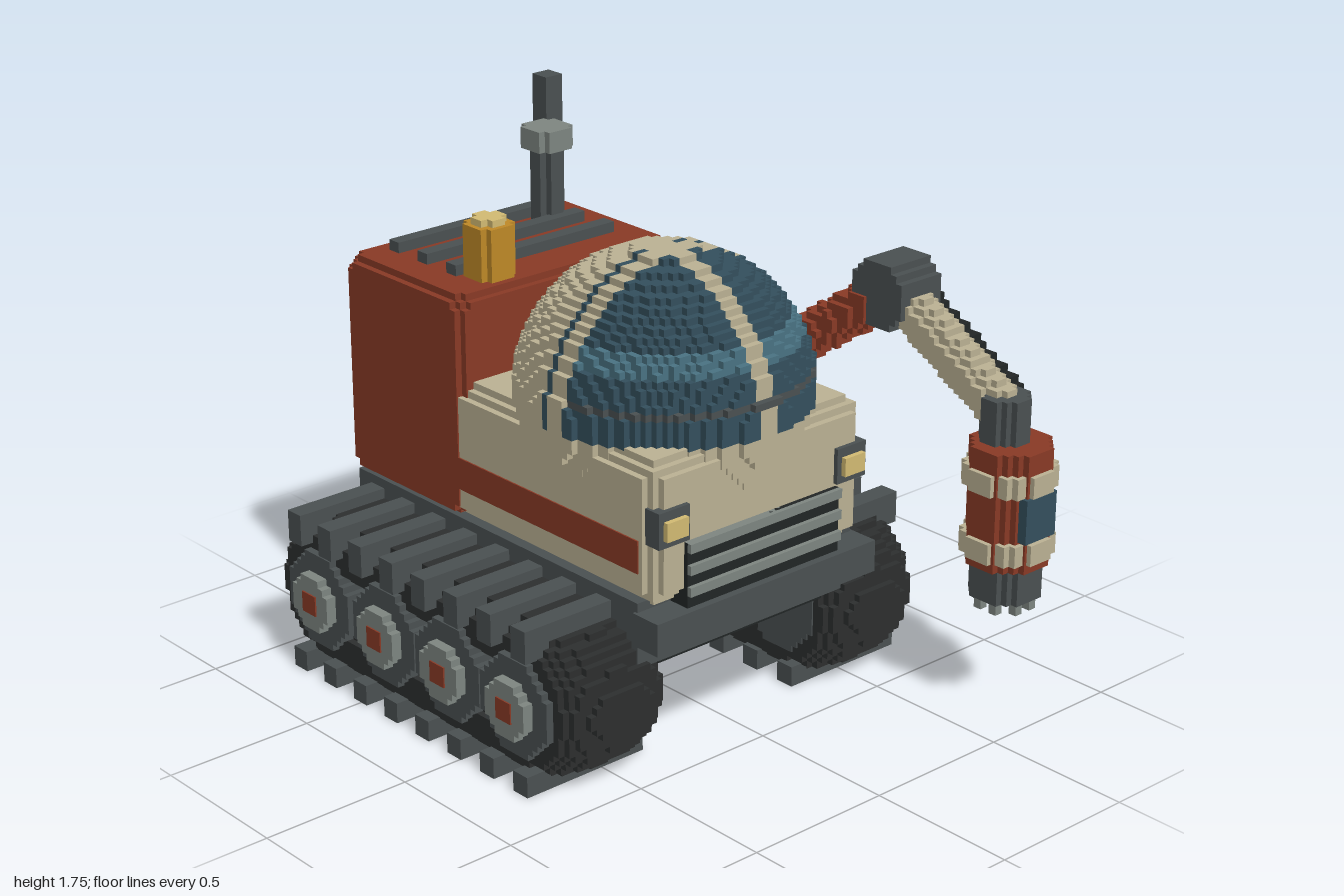
import * as THREE from 'three';

const V = 0.0225; // voxel size
const C = -0.02; // x of the vehicle's centre plane
const RED = 0x8a3a26, CREAM = 0xbdb395, GREY = 0x4b5152, BLACK = 0x222626, TREAD = 0x2d2f2f;
const LIGHT = 0x7f8782, BLUE = 0x34505e, SKY = 0x4a7484, ORANGE = 0xc08a28, YELLOW = 0xd4bc74;

const materials = {};
function material(color) {
  return (materials[color] ??= new THREE.MeshStandardMaterial({ color, flatShading: true }));
}

function add(parent, name, color, geometry) {
  const mesh = new THREE.Mesh(geometry, material(color));
  mesh.name = name;
  parent.add(mesh);
  return mesh;
}

// Plain block from its two corners
function block(parent, name, color, a, b) {
  const g = new THREE.BoxGeometry(b[0] - a[0], b[1] - a[1], b[2] - a[2]);
  g.translate((a[0] + b[0]) / 2, (a[1] + b[1]) / 2, (a[2] + b[2]) / 2);
  return add(parent, name, color, g);
}

// Voxel skin of the cells where inside() holds; faces against solid() are left out, runs are merged
function vox(parent, name, color, min, max, inside, solid = inside) {
  const n = min.map((m, i) => Math.max(1, Math.round((max[i] - m) / V)));
  const step = min.map((m, i) => (max[i] - m) / n[i]);
  const test = (c, f) => c.every((k, i) => k >= 0 && k < n[i])
    && f(...c.map((k, i) => min[i] + (k + 0.5) * step[i]));
  const pos = [];
  for (let d = 0; d < 3; d++) for (const s of [-1, 1]) {
    const u = (d + 1) % 3, v = (d + 2) % 3, cell = [0, 0, 0], next = [0, 0, 0];
    for (let i = 0; i < n[d]; i++) for (let j = 0; j < n[v]; j++) {
      let start = -1;
      for (let k = 0; k <= n[u]; k++) {
        cell[d] = i; cell[u] = k; cell[v] = j;
        next[d] = i + s; next[u] = k; next[v] = j;
        const open = k < n[u] && test(cell, inside) && !test(next, solid);
        if (open && start < 0) start = k;
        if (open || start < 0) continue;
        const q = [[start, j], [k, j], [k, j + 1], [start, j + 1]].map(([a, b]) => {
          const p = [0, 0, 0];
          p[d] = i + (s > 0 ? 1 : 0); p[u] = a; p[v] = b;
          return p.map((w, t) => min[t] + w * step[t]);
        });
        if (s < 0) q.reverse();
        for (const t of [0, 1, 2, 0, 2, 3]) pos.push(...q[t]);
        start = -1;
      }
    }
  }
  const g = new THREE.BufferGeometry();
  g.setAttribute('position', new THREE.Float32BufferAttribute(pos, 3));
  g.computeVertexNormals();
  return add(parent, name, color, g);
}

// Voxel cylinder along axis 0, 1 or 2, between from and to
function disc(parent, name, color, axis, center, r, from, to) {
  const min = center.map((c) => c - r), max = center.map((c) => c + r);
  min[axis] = from; max[axis] = to;
  return vox(parent, name, color, min, max, (...p) =>
    Math.hypot(...p.map((w, i) => (i === axis ? 0 : w - center[i]))) < r);
}

// Voxel box with rounded edges
function rounded(parent, name, color, a, b, r) {
  return vox(parent, name, color, a, b, (...p) =>
    Math.hypot(...p.map((w, i) => Math.max(0, Math.abs(w - (a[i] + b[i]) / 2) - (b[i] - a[i]) / 2 + r))) < r);
}

// Voxel rod from a to b
function rod(parent, name, color, a, b, r) {
  const line = new THREE.Line3(new THREE.Vector3(...a), new THREE.Vector3(...b));
  const p = new THREE.Vector3(), q = new THREE.Vector3();
  return vox(parent, name, color, a.map((w, i) => Math.min(w, b[i]) - r), a.map((w, i) => Math.max(w, b[i]) + r),
    (x, y, z) => line.closestPointToPoint(p.set(x, y, z), true, q).distanceTo(p) < r);
}

function group(parent, name) {
  const g = new THREE.Group();
  g.name = name;
  parent.add(g);
  return g;
}

function buildTrack(parent, side) {
  const track = group(parent, side > 0 ? 'leftTrack' : 'rightTrack');
  const cx = C + side * 0.53, cy = 0.265;
  const span = (a, b) => [C + side * a, C + side * b].sort((p, q) => p - q);
  // Belt: fat oval section swept round a stadium
  vox(track, 'belt', TREAD, [cx - 0.195, cy - 0.245, -1], [cx + 0.195, cy + 0.245, 0.48], (x, y, z) => {
    const d = Math.hypot(y - cy, z - Math.min(0.235, Math.max(-0.755, z)));
    return Math.abs((x - cx) / 0.195) ** 2.5 + Math.abs((d - 0.155) / 0.09) ** 2.5 < 1;
  });
  // Cleats above and below
  const [x0, x1] = span(0.315, 0.77);
  for (let i = 0; i < 8; i++) {
    const z = 0.288 - 0.1585 * i;
    block(track, 'topCleat', GREY, [x0, 0.44, z - 0.033], [x1, 0.545, z + 0.033]);
    block(track, 'bottomCleat', GREY, [x0, 0, z - 0.033], [x1, 0.068, z + 0.033]);
  }
  // Road wheels with hubs and square caps
  for (const z of [0.236, -0.08, -0.397, -0.735]) {
    disc(track, 'wheel', GREY, 0, [cx, cy, z], 0.155, ...span(0.33, 0.75));
    disc(track, 'hub', LIGHT, 0, [cx, cy, z], 0.09, ...span(0.74, 0.785));
    const [h0, h1] = span(0.77, 0.79);
    block(track, 'hubCap', RED, [h0, cy - 0.034, z - 0.034], [h1, cy + 0.034, z + 0.034]);
  }
}

function buildBody(parent) {
  const body = group(parent, 'body');
  block(body, 'chassis', GREY, [C - 0.44, 0.36, -0.92], [C + 0.44, 0.575, 0.44]);
  block(body, 'bellyPlate', BLACK, [C - 0.34, 0.34, -0.88], [C + 0.34, 0.365, 0.42]);
  block(body, 'bumper', GREY, [C - 0.45, 0.44, 0.43], [C + 0.45, 0.545, 0.54]);
  rounded(body, 'hull', CREAM, [C - 0.435, 0.56, -0.45], [C + 0.435, 1.02, 0.5], 0.08);
  block(body, 'hullStripe', RED, [C - 0.44, 0.67, -0.4], [C + 0.44, 0.775, 0.44]);

  // Grille and headlights
  block(body, 'grille', BLACK, [C - 0.31, 0.545, 0.42], [C + 0.31, 0.755, 0.515]);
  for (const y of [0.6, 0.67, 0.74])
    block(body, 'grilleBar', LIGHT, [C - 0.31, y - 0.015, 0.5], [C + 0.31, y + 0.015, 0.53]);
  for (const s of [-1, 1]) {
    const x = C + s * 0.362;
    block(body, 'headlightHousing', GREY, [x - 0.06, 0.765, 0.41], [x + 0.06, 0.88, 0.515]);
    block(body, 'headlight', YELLOW, [x - 0.042, 0.79, 0.5], [x + 0.042, 0.85, 0.532]);
  }

  // Dome, split by colour into shell, glass, shine and frame lines
  const r = 0.458, o = [C, 1.022, 0.07];
  const ball = (x, y, z) => Math.hypot(x - o[0], y - o[1], z - o[2]) < r;
  const paint = (x, y, z) => {
    const dx = Math.abs(x - C);
    if (z > 0.13 && y > 1.095 && y < 1.125) return GREY;
    if (z > 0.13 && y > 1 && dx > 0.036) return y > 1.22 && y < 1.285 ? SKY : BLUE;
    return Math.abs(z - 0.05) < 0.0115 && y > 1.02 && dx > 0.06 ? BLUE : CREAM;
  };
  const parts = [['domeShell', CREAM], ['domeGlass', BLUE], ['glassShine', SKY], ['domeCrossbar', GREY]];
  for (const [name, color] of parts)
    vox(body, name, color, o.map((w) => w - r), o.map((w) => w + r),
      (x, y, z) => ball(x, y, z) && paint(x, y, z) === color, ball);
}

function buildEngine(parent) {
  const engine = group(parent, 'engine');
  rounded(engine, 'engineHousing', RED, [C - 0.44, 0.565, -0.96], [C + 0.44, 1.3, -0.375], 0.06);
  for (const z of [-0.86, -0.715, -0.57])
    block(engine, 'roofSlat', GREY, [-0.335, 1.28, z - 0.024], [0.31, 1.335, z + 0.024]);

  // Side vent
  rounded(engine, 'ventFrame', CREAM, [0.38, 0.72, -0.917], [0.52, 1.225, -0.5], 0.03);
  block(engine, 'ventPanel', BLACK, [0.5, 0.775, -0.855], [0.545, 1.18, -0.525]);
  for (let i = 0; i < 4; i++)
    block(engine, 'ventSlat', LIGHT, [0.53, 0.795 + i * 0.107, -0.835], [0.558, 0.825 + i * 0.107, -0.545]);

  // Stacks and beacon
  disc(engine, 'exhaustStack', GREY, 1, [0.225, 0, -0.775], 0.05, 1.28, 1.56);
  disc(engine, 'exhaustCap', LIGHT, 1, [0.225, 0, -0.775], 0.07, 1.55, 1.62);
  disc(engine, 'thinPipe', GREY, 1, [0.313, 0, -0.875], 0.034, 1.27, 1.755);
  disc(engine, 'beacon', ORANGE, 1, [-0.248, 0, -0.488], 0.067, 1.29, 1.47);
  disc(engine, 'beaconTop', YELLOW, 1, [-0.248, 0, -0.488], 0.05, 1.46, 1.492);
}

function buildArm(parent) {
  const arm = group(parent, 'arm');
  disc(arm, 'shoulder', GREY, 0, [0, 0.97, -0.01], 0.125, 0.38, 0.545);
  rod(arm, 'upperArm', RED, [0.5, 0.98, -0.01], [0.66, 1.25, 0.35], 0.068);
  disc(arm, 'elbow', GREY, 0, [0, 1.265, 0.37], 0.105, 0.58, 0.755);
  disc(arm, 'elbowPin', LIGHT, 0, [0, 1.265, 0.37], 0.05, 0.745, 0.785);
  rod(arm, 'forearm', CREAM, [0.665, 1.25, 0.4], [0.665, 1.01, 0.82], 0.066);
  rod(arm, 'forearmPiston', BLACK, [0.757, 1.25, 0.4], [0.757, 1.03, 0.78], 0.026);

  // Drum tool with bands, window and teeth
  const x = 0.667, z = 0.868;
  disc(arm, 'wrist', GREY, 1, [x, 0, z - 0.03], 0.075, 0.9, 1.055);
  disc(arm, 'drum', RED, 1, [x, 0, z], 0.122, 0.525, 0.912);
  for (const y of [0.555, 0.777]) disc(arm, 'drumBand', CREAM, 1, [x, 0, z], 0.138, y, y + 0.068);
  block(arm, 'drumWindow', BLUE, [x - 0.066, 0.63, z + 0.06], [x + 0.066, 0.775, 1]);
  disc(arm, 'toolHead', GREY, 1, [x, 0, z], 0.1, 0.41, 0.53);
  for (let i = 0; i < 8; i++) {
    const a = (i + 0.5) * Math.PI / 4, tx = x + 0.08 * Math.cos(a), tz = z + 0.08 * Math.sin(a);
    block(arm, 'toolTooth', LIGHT, [tx - 0.014, 0.372, tz - 0.014], [tx + 0.014, 0.42, tz + 0.014]);
  }
}

export function createModel() {
  const model = new THREE.Group();
  model.name = 'trackedVehicle';
  for (const side of [-1, 1]) buildTrack(model, side);
  buildBody(model);
  buildEngine(model);
  buildArm(model);
  return model;
}
